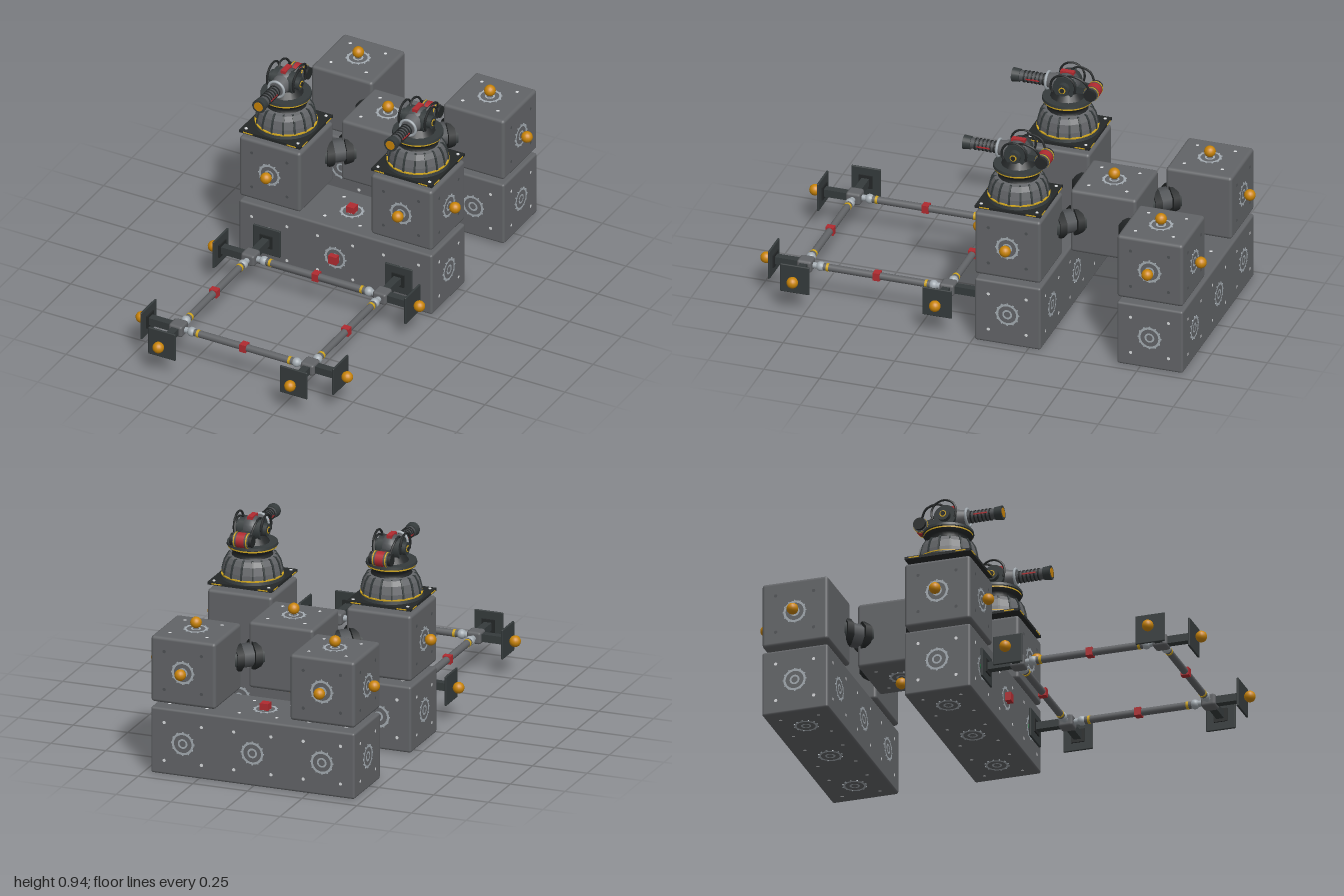
import * as THREE from 'three';
import { RoundedBoxGeometry } from 'three/addons/geometries/RoundedBoxGeometry.js';

const mat = (name, color, side = THREE.FrontSide) => {
  const m = new THREE.MeshStandardMaterial({ color, side });
  m.name = name;
  return m;
};

export function createModel() {
  const hull = mat('hullGrey', 0x626467);
  const dark = mat('darkGrey', 0x353b3c, THREE.DoubleSide);
  const black = mat('nearBlack', 0x242728, THREE.DoubleSide);
  const mid = mat('midGrey', 0x4e5154);
  const light = mat('lightMetal', 0xa3abb1);
  const white = mat('screwWhite', 0xd8dadc);
  const orange = mat('orange', 0xc98408);
  const red = mat('red', 0xb02b30);
  const green = mat('green', 0x0c9a45);
  const yellow = mat('yellow', 0xcfa51e);

  const root = new THREE.Group();
  const H = Math.PI / 2;
  const P = 0.318, HALF = 0.148, LOW = 0.152, UP = 0.471;
  const ZF = -0.158, ZM = -0.477, ZB = -0.796;

  const add = (parent, name, geo, material, x = 0, y = 0, z = 0) => {
    const m = new THREE.Mesh(geo, material);
    m.name = name;
    m.position.set(x, y, z);
    parent.add(m);
    return m;
  };
  const group = (parent, name, x = 0, y = 0, z = 0) => {
    const g = new THREE.Group();
    g.name = name;
    g.position.set(x, y, z);
    parent.add(g);
    return g;
  };
  const box = (w, h, d) => new THREE.BoxGeometry(w, h, d);
  const cyl = (r1, r2, h, n = 20) => new THREE.CylinderGeometry(r1, r2, h, n);
  const cylZ = (r1, r2, h, n = 20) => cyl(r1, r2, h, n).rotateX(H);
  const cylX = (r, h, n = 16) => cyl(r, r, h, n).rotateZ(H);
  const lathe = (pts, n) => new THREE.LatheGeometry(pts.map(p => new THREE.Vector2(...p)), n);
  const ballGeo = new THREE.SphereGeometry(0.025, 16, 12);

  // Turn a group's +z towards one of the six directions
  const aim = (g, dir) => {
    const turns = { pz: [0, 0], nz: [0, Math.PI], px: [0, H], nx: [0, -H], py: [-H, 0], ny: [H, 0] };
    g.rotation.set(turns[dir][0], turns[dir][1], 0);
    return g;
  };

  // Docking port: toothed ring, hub and four screws
  const ringGeo = new THREE.RingGeometry(0.04, 0.05, 32);
  const hubGeo = new THREE.RingGeometry(0.014, 0.022, 24);
  const discGeo = new THREE.CircleGeometry(0.04, 32);
  const screwGeo = new THREE.CircleGeometry(0.0075, 12);
  function port(parent, x, y, z, dir, screwMat = white, ball = false) {
    const g = aim(group(parent, 'dockingPort', x, y, z), dir);
    const d = HALF + 0.002;
    add(g, 'portRing', ringGeo, light, 0, 0, d + 0.001);
    add(g, 'portDisc', discGeo, hull, 0, 0, d);
    add(g, 'portHub', hubGeo, light, 0, 0, d + 0.001);
    for (let i = 0; i < 12; i++) {
      const a = i / 12 * Math.PI * 2;
      add(g, 'portTooth', box(0.005, 0.006, 0.003), light, Math.cos(a) * 0.051, Math.sin(a) * 0.051, d).rotation.z = a;
    }
    for (const sx of [-1, 1]) for (const sy of [-1, 1])
      add(g, 'screw', screwGeo, screwMat, sx * 0.085, sy * 0.085, d);
    if (ball) add(g, 'portBall', ballGeo, orange, 0, 0, 0.179);
  }

  // Long lower blocks
  const S = HALF * 2;
  for (const z of [ZF, ZB]) {
    const g = group(root, 'longBlock', 0, LOW, z);
    add(g, 'longBlockBody', new RoundedBoxGeometry(0.932, S, S, 2, 0.01), hull);
    for (const x of [-P, 0, P]) for (const d of ['pz', 'nz', 'py', 'ny']) port(g, x, 0, 0, d);
    port(g, P, 0, 0, 'px');
    port(g, -P, 0, 0, 'nx');
    add(g, 'topMarker', box(0.038, 0.034, 0.038), red, 0, HALF + 0.015, 0);
  }
  add(root, 'frontMarker', box(0.038, 0.038, 0.034), red, 0, LOW, 0.002);

  // Upper cubes
  function cube(x, z, faces) {
    const g = group(root, 'upperCube', x, UP, z);
    add(g, 'cubeBody', new RoundedBoxGeometry(S, S, S, 2, 0.014), hull);
    for (const f of faces) port(g, 0, 0, 0, f, f[1] === 'y' ? white : mid, true);
  }
  cube(0, ZM, ['py', 'ny']);
  for (const s of [-1, 1]) {
    const side = s > 0 ? 'px' : 'nx';
    cube(s * P, ZF, ['pz', side]);
    cube(s * P, ZB, ['nz', side, 'py']);
    for (const z of [ZF, ZB])
      add(root, 'greenJoint', cyl(0.025, 0.025, 0.04), green, s * P, (LOW + UP) / 2, z);
    add(root, 'turretJoint', cyl(0.025, 0.025, 0.04), green, s * P, 0.627, ZF);
    add(root, 'frameJoint', cylZ(0.025, 0.025, 0.03), green, s * P, LOW, 0);

    // Diagonal eight-sided couplings to the middle cube
    for (const t of [-1, 1]) {
      const c = group(root, 'diagonalCoupling', s * 0.159, UP, ZM + t * 0.159);
      c.rotation.y = Math.atan2(s, t);
      const oct = (r, h) => cyl(r, r, h, 8).rotateY(Math.PI / 8).rotateX(H);
      add(c, 'couplingCore', oct(0.052, 0.2), mid);
      for (const e of [-1, 1]) {
        add(c, 'couplingFlange', oct(0.066, 0.032), black, 0, 0, e * 0.042);
        add(c, 'couplingCollar', oct(0.058, 0.03), dark, 0, 0, e * 0.072);
      }
    }
  }

  // Front frame: hubs, rails, arms and end plates
  const Z1 = 0.157, Z2 = 0.796, ZC = (Z1 + Z2) / 2;
  function rail(x, z, along) {
    const g = group(root, 'frameRail', x, LOW, z);
    if (along === 'z') g.rotation.y = H;
    add(g, 'railTube', cylX(0.016, 0.5), hull);
    add(g, 'railMarker', box(0.03, 0.036, 0.036), red);
    for (const e of [-1, 1]) {
      add(g, 'railBand', cylX(0.0175, 0.011), yellow, e * 0.221);
      add(g, 'railJoint', new THREE.SphereGeometry(0.021, 16, 12), light, e * 0.253);
      add(g, 'railNeck', cylX(0.013, 0.05), light, e * 0.272);
    }
  }
  function arm(x, z, dir, ball) {
    const g = aim(group(root, 'frameArm', x, LOW, z), dir);
    add(g, 'armBar', box(0.034, 0.034, 0.12), dark, 0, 0, 0.085);
    add(g, 'armFoot', box(0.06, 0.06, 0.008), black, 0, 0, 0.138);
    add(g, 'armPlate', new RoundedBoxGeometry(0.132, 0.132, 0.01, 1, 0.004), dark, 0, 0, 0.145);
    if (ball) add(g, 'armBall', ballGeo, orange, 0, 0, 0.179);
  }
  for (const z of [Z1, Z2]) {
    rail(0, z, 'x');
    for (const s of [-1, 1]) {
      add(root, 'frameHub', new RoundedBoxGeometry(0.066, 0.056, 0.066, 1, 0.012), hull, s * P, LOW, z);
      arm(s * P, z, s > 0 ? 'px' : 'nx', true);
      arm(s * P, z, z === Z1 ? 'nz' : 'pz', z === Z2);
    }
  }
  for (const s of [-1, 1]) rail(s * P, ZC, 'z');

  // Turret: origin on its base, barrel along +z
  function turret(x) {
    const g = group(root, 'turret', x, 0.64, ZF);
    add(g, 'basePlate', box(0.294, 0.012, 0.294), black, 0, 0.006, 0);
    for (const sx of [-1, 1]) for (const sz of [-1, 1]) {
      add(g, 'baseStripe', box(0.045, 0.005, 0.004), yellow, sx * 0.105, 0.006, sz * 0.147);
      add(g, 'baseStripe', box(0.004, 0.005, 0.045), yellow, sx * 0.147, 0.006, sz * 0.105);
      add(g, 'baseBolt', cyl(0.007, 0.007, 0.004, 10), white, sx * 0.125, 0.013, sz * 0.125);
    }
    add(g, 'baseRing', cyl(0.134, 0.138, 0.016, 32), dark, 0, 0.018, 0);
    add(g, 'baseRingBand', cyl(0.1345, 0.1345, 0.005, 32), yellow, 0, 0.028, 0);

    // Ribbed skirt
    const domeGeo = lathe([[0.129, 0.026], [0.127, 0.05], [0.118, 0.085], [0.106, 0.106], [0.085, 0.114]], 16);
    add(g, 'skirt', domeGeo.toNonIndexed(), hull).geometry.computeVertexNormals();
    const ribShape = new THREE.Shape([[0.12, 0.026], [0.133, 0.026], [0.131, 0.05], [0.122, 0.087], [0.108, 0.11], [0.09, 0.11]]
      .map(p => new THREE.Vector2(...p)));
    const ribGeo = new THREE.ExtrudeGeometry(ribShape, { depth: 0.008, bevelEnabled: false }).translate(0, 0, -0.004);
    for (let i = 0; i < 16; i++) add(g, 'skirtRib', ribGeo, dark).rotation.y = i * Math.PI / 8;

    // Neck and turntable
    add(g, 'neck', lathe([[0.09, 0.11], [0.083, 0.122], [0.09, 0.135], [0.104, 0.146], [0.104, 0.158]], 32), black);
    add(g, 'turntableBand', cyl(0.105, 0.105, 0.006, 32), yellow, 0, 0.151, 0);
    add(g, 'turntable', cyl(0.108, 0.11, 0.012, 32), dark, 0, 0.163, 0);
    add(g, 'pedestal', cyl(0.055, 0.078, 0.03, 16), black, 0, 0.18, 0);

    // Gun head
    const h = group(g, 'gunHead', 0, 0.226, 0);
    add(h, 'headDrum', cylX(0.05, 0.1, 16), dark);
    add(h, 'headShell', new THREE.SphereGeometry(0.056, 16, 12), mid);
    add(h, 'headTopMarker', box(0.024, 0.014, 0.06), red, 0, 0.053, 0);
    add(h, 'headChinMarker', box(0.024, 0.014, 0.03), red, 0, -0.045, 0.04);
    for (const s of [-1, 1]) {
      add(h, 'sideHoop', new THREE.TorusGeometry(0.055, 0.005, 6, 24, Math.PI * 1.3).rotateZ(-0.4).rotateY(H), black, s * 0.063, 0.012, 0);
      add(h, 'sideBearing', cylX(0.028, 0.026), dark, s * 0.06);
      add(h, 'sideBearingRing', cylX(0.015, 0.004), yellow, s * 0.073);
      add(h, 'sideCap', cylX(0.01, 0.006), black, s * 0.075);
      add(h, 'barrelStripe', box(0.003, 0.006, 0.06), red, s * 0.0255, 0, 0.15);
    }

    // Barrel with cooling rings and muzzle
    add(h, 'barrelRoot', cylZ(0.03, 0.042, 0.05), hull, 0, 0, 0.065);
    add(h, 'barrelCollar', new THREE.TorusGeometry(0.037, 0.006, 8, 28), light, 0, 0, 0.088);
    add(h, 'barrelTube', cylZ(0.024, 0.024, 0.14), mid, 0, 0, 0.15);
    for (let i = 0; i < 6; i++) add(h, 'coolingRing', cylZ(0.027, 0.027, 0.006), black, 0, 0, 0.105 + i * 0.017);
    add(h, 'muzzle', cylZ(0.031, 0.028, 0.034), dark, 0, 0, 0.228);
    add(h, 'muzzleLens', cylZ(0.021, 0.021, 0.004), orange, 0, 0, 0.245);

    // Rear breech and cables
    add(h, 'rearArm', box(0.05, 0.03, 0.08), dark, 0, -0.012, -0.08);
    add(h, 'breech', cylX(0.032, 0.07), mid, 0, -0.018, -0.115);
    add(h, 'breechBand', cylX(0.033, 0.036), red, 0, -0.018, -0.115);
    for (const s of [-1, 1]) {
      add(h, 'breechCap', cylX(0.027, 0.016), black, s * 0.042, -0.018, -0.115);
      add(h, 'breechRing', cylX(0.0335, 0.005), yellow, s * 0.028, -0.018, -0.115);
      const path = new THREE.CatmullRomCurve3([[0.03, 0.03, 0.02], [0.045, 0.06, -0.03], [0.045, 0.045, -0.085], [0.035, 0, -0.11]]
        .map(p => new THREE.Vector3(s * p[0], p[1], p[2])));
      add(h, 'cable', new THREE.TubeGeometry(path, 14, 0.005, 6), black);
    }
  }
  for (const s of [-1, 1]) turret(s * P);

  return root;
}
